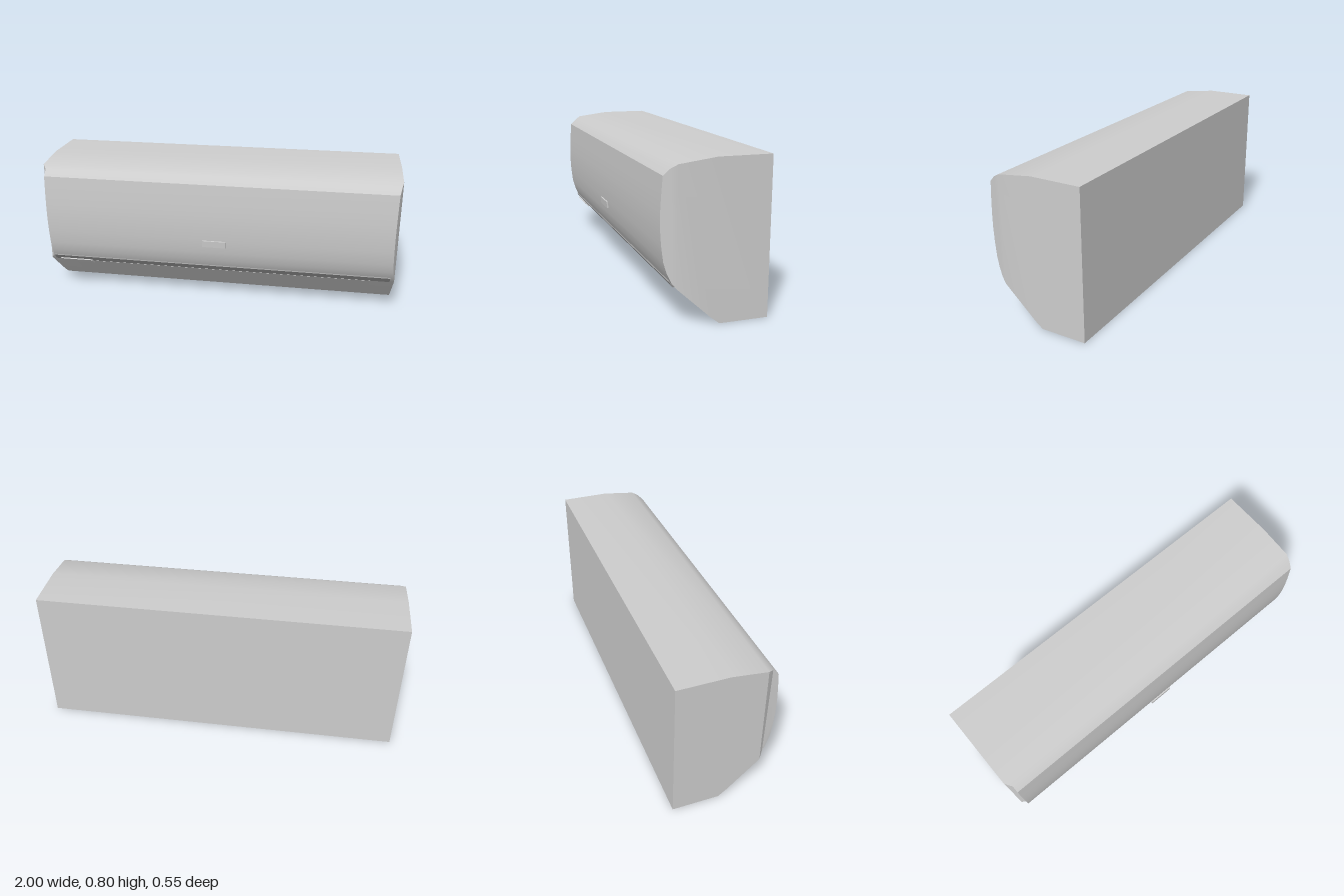
import * as THREE from 'three';
import { toCreasedNormals } from 'three/addons/utils/BufferGeometryUtils.js';

// Side profile as [z, y], running from the back along the bottom, up the front and over the top
const profile = [
  [-0.273, 0], [-0.023, 0], [0.02, 0.033], [0.195, 0.195], [0.218, 0.225], [0.238, 0.27],
  [0.253, 0.32], [0.263, 0.4], [0.268, 0.48], [0.268, 0.55], [0.264, 0.63], [0.257, 0.723],
  [0.225, 0.755], [0.19, 0.774], [0, 0.798], [-0.273, 0.798],
];

// The front panel narrows towards the front, with a stepped left-hand end and a slanted other end
const minX = (z) => -1 + Math.min(Math.max(0, z - 0.195), 0.025);
const maxX = (z) => 1 - Math.max(0, z - 0.195) * 0.3;

function casingGeometry() {
  const v = [];
  const left = ([z, y]) => [minX(z), y, z];
  const right = ([z, y]) => [maxX(z), y, z];
  // Skin
  profile.forEach((p, i) => {
    const q = profile[(i + 1) % profile.length];
    v.push(...left(p), ...right(p), ...right(q), ...left(p), ...right(q), ...left(q));
  });
  // End caps in three slices: body, step and front panel
  const slices = [
    [0, 1, 2, 3, 13, 14, 15],
    [3, 4, 12, 13],
    [4, 5, 6, 7, 8, 9, 10, 11, 12],
  ];
  for (const slice of slices) {
    const pts = slice.map((i) => profile[i]);
    const faces = THREE.ShapeUtils.triangulateShape(pts.map((p) => new THREE.Vector2(...p)), []);
    for (const [a, b, c] of faces) {
      v.push(...left(pts[a]), ...left(pts[b]), ...left(pts[c]));
      v.push(...right(pts[a]), ...right(pts[c]), ...right(pts[b]));
    }
  }
  const geometry = new THREE.BufferGeometry();
  geometry.setAttribute('position', new THREE.Float32BufferAttribute(v, 3));
  return toCreasedNormals(geometry, 0.6);
}

// Thin plate spanning x0..x1, whose height runs between two [z, y] points
function plate(name, x0, x1, [z0, y0], [z1, y1], thickness, material) {
  const height = Math.hypot(z1 - z0, y1 - y0);
  const mesh = new THREE.Mesh(new THREE.BoxGeometry(x1 - x0, height, thickness), material);
  mesh.position.set((x0 + x1) / 2, (y0 + y1) / 2, (z0 + z1) / 2);
  mesh.rotation.x = Math.atan2(z1 - z0, y1 - y0);
  mesh.name = name;
  return mesh;
}

export function createModel() {
  const group = new THREE.Group();
  group.name = 'wallAirConditioner';
  const shell = new THREE.MeshStandardMaterial({ color: 0xcccccc });
  shell.name = 'shell grey';
  const trim = new THREE.MeshStandardMaterial({ color: 0x999999 });
  trim.name = 'trim grey';

  const casing = new THREE.Mesh(casingGeometry(), shell);
  casing.name = 'casing';
  group.add(casing);

  // Air outlet flap on the sloping underside
  group.add(plate('outletFlap', -0.86, 0.87, [0.022, 0.035], [0.19, 0.19], 0.004, shell));
  // Shadow-gap strip along the lower edge of the front panel
  group.add(plate('panelLip', -0.97, 0.975, [0.2, 0.197], [0.225, 0.229], 0.006, trim));
  // Small display beneath the panel and blank badge on it
  group.add(plate('display', -0.935, -0.74, [0.194, 0.181], [0.221, 0.207], 0.006, shell));
  group.add(plate('badge', -0.07, 0.065, [0.27, 0.363], [0.273, 0.4], 0.008, shell));
  return group;
}
